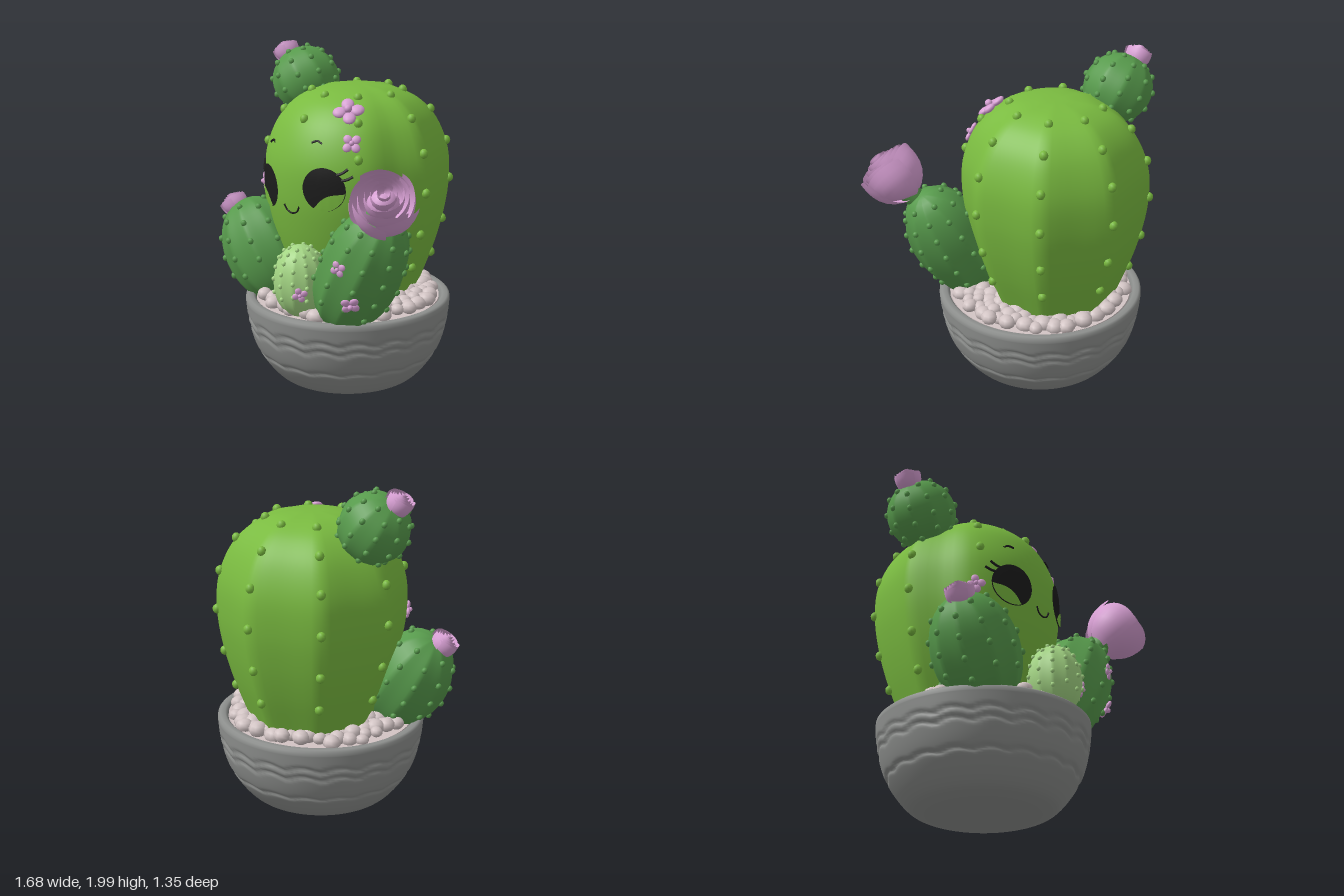
import * as THREE from 'three';
import { mergeGeometries, mergeVertices } from 'three/addons/utils/BufferGeometryUtils.js';

const mat = (color, side = THREE.FrontSide) => new THREE.MeshStandardMaterial({ color, side, roughness: 0.8 });
const M = {
  pot: mat(0x8e908e), gravel: mat(0xd2c4c4), body: mat(0x7abb40), arm: mat(0x579a4c), baby: mat(0xa4d684),
  flower: mat(0xd8a0d4), rose: mat(0xd8a0d4, THREE.DoubleSide), eye: mat(0x1c1c1c, THREE.DoubleSide),
  lid: mat(0x7abb40, THREE.DoubleSide),
};
const V = (x, y, z) => new THREE.Vector3(x, y, z);
const UP = V(0, 1, 0);

let seed = 7;
const rand = () => (seed = (seed * 16807) % 2147483647) / 2147483647;

function addMesh(parent, name, geo, material) {
  const m = new THREE.Mesh(geo, material);
  m.name = name;
  parent.add(m);
  return m;
}

// Move every vertex of a geometry by a rule, then smooth it
function reshape(geo, rule) {
  const p = geo.attributes.position, v = V();
  for (let i = 0; i < p.count; i++) {
    rule(v.fromBufferAttribute(p, i));
    p.setXYZ(i, v.x, v.y, v.z);
  }
  geo.deleteAttribute('uv');
  geo.deleteAttribute('normal');
  const out = mergeVertices(geo, 1e-5);
  out.computeVertexNormals();
  return out;
}

const spline = (pts, n) => new THREE.SplineCurve(pts.map(p => new THREE.Vector2(...p))).getPoints(n)
  .map(p => p.set(Math.max(p.x, 0), p.y));

const ellipseProfile = (r, h) => Array.from({ length: 25 }, (_, i) => {
  const a = Math.PI * i / 24;
  return new THREE.Vector2(r * Math.pow(Math.max(Math.sin(a), 0), 0.92), -h * Math.cos(a));
});

function radiusAt(profile, y) {
  const i = profile.findIndex(p => p.y >= y), a = profile[i - 1], b = profile[i];
  return a.x + (b.x - a.x) * (y - a.y) / (b.y - a.y);
}

// Ribbed cactus lobe with small knobs along its ribs
function cactus(parent, name, o) {
  const g = new THREE.Group();
  g.name = name;
  g.position.copy(o.pos);
  if (o.dir) g.quaternion.setFromUnitVectors(UP, o.dir.clone().normalize());
  parent.add(g);
  const geo = reshape(new THREE.LatheGeometry(o.profile, o.ribs * 8), v => {
    const a = Math.atan2(v.x, v.z);
    const fade = o.smoothFront ? 1 - THREE.MathUtils.smoothstep(Math.cos(a), 0.3, 0.72) : 1;
    const k = 1 - o.depth * fade * Math.abs(Math.sin(a * o.ribs / 2));
    v.x *= k; v.z *= k;
  });
  const skin = addMesh(g, name + 'Skin', geo, o.material);
  const knobs = [];
  for (let k = 0; k < o.ribs; k++) {
    const a = 2 * Math.PI * k / o.ribs, front = Math.cos(a);
    for (const y0 of o.knobYs) {
      const y = y0 + (o.stagger && k % 2 ? o.stagger : 0);
      if (o.smoothFront && (front > 0.9 ? y < 1.55 : front > 0.5 && y < 1.4)) continue;
      const r = radiusAt(o.profile, y);
      knobs.push(new THREE.SphereGeometry(o.knob, 10, 8).scale(1, 1.1, 1)
        .translate(r * Math.sin(a), y, r * Math.cos(a)));
    }
  }
  addMesh(g, name + 'Knobs', mergeGeometries(knobs), o.material);
  return skin;
}

// Layered rose made of curved, overlapping petals
function rose(parent, name, pos, dir, R) {
  const petals = [new THREE.SphereGeometry(R * 0.5, 12, 8).translate(0, 0.05 * R, 0)];
  petals.forEach(p => { p.deleteAttribute('uv'); });
  for (let layer = 0; layer < 5; layer++) {
    const n = Math.max(5 - layer, 2), r = R * (0.92 - 0.18 * layer);
    for (let i = 0; i < n; i++) {
      const geo = reshape(new THREE.PlaneGeometry(1, 1, 10, 8), v => {
        const u = v.x, t = v.y + 0.5;
        const theta = Math.PI - t * Math.PI * (0.66 - 0.25 * u * u);
        const phi = u * 2 * Math.PI / n * 1.35 + 2 * Math.PI * i / n + layer * 0.7;
        const s = r * (1 + 0.16 * u + 0.12 * Math.pow(t, 6));
        v.set(s * Math.sin(theta) * Math.sin(phi), s * Math.cos(theta) + R * 0.17 * layer, s * Math.sin(theta) * Math.cos(phi));
      });
      petals.push(geo);
    }
  }
  const m = addMesh(parent, name, mergeGeometries(petals), M.rose);
  m.position.copy(pos);
  m.quaternion.setFromUnitVectors(UP, dir.normalize());
}

// Point and normal on the front of a mesh at x, y
function project(target, x, y, lift = 0) {
  const hit = new THREE.Raycaster(V(x, y, 5), V(0, 0, -1)).intersectObject(target)[0];
  const normal = hit.face.normal.clone().transformDirection(target.matrixWorld);
  return { point: hit.point.addScaledVector(normal, lift), normal };
}

// Four-petal blossom lying on a surface
function blossom(parent, target, x, y, s, turn) {
  const { point, normal } = project(target, x, y, s * 0.15);
  const parts = [new THREE.SphereGeometry(s * 0.25, 10, 8).translate(0, 0, s * 0.25)];
  for (let i = 0; i < 4; i++) {
    parts.push(new THREE.SphereGeometry(s * 0.46, 12, 8).scale(1, 0.9, 0.5)
      .translate(s * 0.56, 0, 0).rotateZ(turn + i * Math.PI / 2));
  }
  const m = addMesh(parent, 'blossom', mergeGeometries(parts), M.flower);
  m.position.copy(point);
  m.quaternion.setFromUnitVectors(V(0, 0, 1), normal);
}

function stroke(parent, name, target, pts, r) {
  const path = new THREE.CatmullRomCurve3(pts.map(([x, y]) => project(target, x, y, 0.004).point));
  addMesh(parent, name, new THREE.TubeGeometry(path, 12, r, 6), M.eye);
}

export function createModel() {
  const root = new THREE.Group();
  root.name = 'pottedCactus';

  // Pot with scalloped grooves
  const pot = new THREE.Group();
  pot.name = 'planter';
  pot.position.x = -0.09;
  root.add(pot);
  const wall = spline([[0.33, 0], [0.42, 0.035], [0.5, 0.12], [0.565, 0.23], [0.605, 0.37], [0.62, 0.5]], 64);
  const rim = [[0.618, 0.522], [0.605, 0.533], [0.575, 0.533], [0.56, 0.52], [0.55, 0.42]].map(p => new THREE.Vector2(...p));
  const potGeo = reshape(new THREE.LatheGeometry([new THREE.Vector2(0, 0), ...wall, ...rim], 128), v => {
    const r = Math.hypot(v.x, v.z);
    if (r < 0.45) return;
    const wave = Math.abs(Math.sin(Math.atan2(v.x, v.z) * 9));
    let d = 0;
    for (const [y, amp] of [[0.4, 0.03], [0.345, 0.03], [0.195, 0.018]]) {
      d += 0.012 * Math.exp(-Math.pow((v.y - y - amp * (wave - 0.5)) / 0.011, 2));
    }
    v.x *= 1 - d / r; v.z *= 1 - d / r;
  });
  addMesh(pot, 'pot', potGeo, M.pot);

  // Gravel
  const stones = [new THREE.CylinderGeometry(0.555, 0.555, 0.04, 48).translate(0, 0.5, 0)];
  for (let i = 0; i < 210; i++) {
    const r = 0.525 * Math.sqrt((i + 0.5) / 210), a = i * 2.39996;
    stones.push(new THREE.SphereGeometry(0.036 + 0.02 * rand(), 9, 7).scale(1.1, 0.85, 1).rotateY(rand() * 3)
      .translate(r * Math.sin(a), 0.535 + 0.03 * rand(), r * Math.cos(a)));
  }
  addMesh(pot, 'gravel', mergeGeometries(stones), M.gravel);

  // Cactus lobes
  const body = cactus(root, 'body', {
    pos: V(-0.115, 0, -0.11), ribs: 8, depth: 0.075, smoothFront: true, knob: 0.026, material: M.body,
    profile: spline([[0.33, 0.45], [0.39, 0.6], [0.465, 0.8], [0.52, 1], [0.55, 1.2], [0.542, 1.4], [0.475, 1.58],
      [0.37, 1.7], [0.24, 1.765], [0.11, 1.788], [0, 1.792]], 60),
    knobYs: [0.75, 0.965, 1.22, 1.45, 1.64, 1.755],
  });
  cactus(root, 'headBall', {
    pos: V(-0.56, 1.762, -0.115), dir: V(-0.6, 0.8, 0.03), ribs: 10, depth: 0.04, knob: 0.017, material: M.arm,
    profile: ellipseProfile(0.205, 0.2), knobYs: [-0.13, -0.04, 0.06, 0.14], stagger: 0.03,
  });
  cactus(root, 'rightArm', {
    pos: V(-0.53, 0.765, 0.27), dir: V(-0.55, 0.83, 0.05), ribs: 10, depth: 0.05, knob: 0.018, material: M.arm,
    profile: ellipseProfile(0.25, 0.335), knobYs: [-0.12, 0, 0.12, 0.23], stagger: 0.05,
  });
  const leftArm = cactus(root, 'leftArm', {
    pos: V(0.33, 0.83, 0.32), dir: V(0.5, 0.87, 0), ribs: 10, depth: 0.05, knob: 0.018, material: M.arm,
    profile: ellipseProfile(0.245, 0.42), knobYs: [-0.18, -0.04, 0.1, 0.22, 0.32], stagger: 0.06,
  });
  const baby = cactus(root, 'babyCactus', {
    pos: V(-0.027, 0.72, 0.45), ribs: 12, depth: 0.04, knob: 0.013, material: M.baby,
    profile: ellipseProfile(0.16, 0.215), knobYs: [-0.08, 0, 0.07, 0.13, 0.175], stagger: 0.025,
  });

  // Roses and the stem of the large one
  const stem = addMesh(root, 'roseStem', new THREE.CylinderGeometry(0.085, 0.05, 0.16, 16), M.arm);
  stem.position.set(0.565, 1.185, 0.41);
  stem.quaternion.setFromUnitVectors(UP, V(0.5, 0.7, 0.5).normalize());
  rose(root, 'largeRose', V(0.645, 1.3, 0.47), V(0.5, 0.7, 0.5), 0.185);
  rose(root, 'armRose', V(-0.75, 1.02, 0.32), V(-0.55, 0.8, 0.2), 0.085);
  rose(root, 'headRose', V(-0.715, 1.92, -0.1), V(-0.5, 0.85, 0.1), 0.08);

  // Face, laid on the body surface
  root.updateMatrixWorld(true);
  const face = new THREE.Group();
  face.name = 'face';
  root.add(face);
  for (const [side, ex, ey] of [[-1, -0.34, 1.225], [1, 0.105, 1.275]]) {
    const onBody = (v, lift) => v.copy(project(body, ex + v.x * 0.118, ey + v.y * 0.125, lift).point);
    addMesh(face, 'eye', reshape(new THREE.RingGeometry(0.001, 1, 36, 6), v => onBody(v, 0.008)), M.eye);
    const tilt = side * 0.5, c = Math.cos(tilt), s = Math.sin(tilt);
    addMesh(face, 'lowerLid', reshape(new THREE.PlaneGeometry(2, 1, 20, 6), v => {
      const x = 0.8 * v.x, y = -Math.sqrt(0.95 - x * x) + (v.y + 0.5) * 0.62 * (1 - v.x * v.x);
      onBody(v.set(x * c - y * s, x * s + y * c, 0), 0.014);
    }), M.lid);
    for (const [x0, y0, x1, y1] of [[0.07, 0.09, 0.12, 0.125], [0.095, 0.06, 0.145, 0.085]]) {
      stroke(face, 'eyelash', body, [[ex + side * x0, ey + y0], [ex + side * (x0 + x1) / 2, ey + (y0 + y1) / 2 - 0.006],
        [ex + side * x1, ey + y1]], 0.008);
    }
    const bx = side < 0 ? -0.34 : 0.035, by = side < 0 ? 1.485 : 1.535;
    stroke(face, 'eyebrow', body, [[bx - 0.032, by - 0.01 + side * 0.004], [bx, by + 0.005], [bx + 0.032, by - 0.004 - side * 0.004]], 0.006);
  }
  stroke(face, 'smile', body, [[-0.17, 1.15], [-0.15, 1.12], [-0.108, 1.107], [-0.067, 1.123], [-0.05, 1.155]], 0.005);

  // Scattered blossoms
  const spots = [[body, 0.115, 1.69, 0.09, 0.5], [body, 0.21, 1.535, 0.06, 0.9], [body, -0.52, 1.195, 0.055, 0.2],
    [leftArm, 0.39, 0.91, 0.048, 0.4], [leftArm, 0.43, 0.7, 0.06, 0.7], [baby, 0.08, 0.685, 0.046, 0.3]];
  spots.forEach(([target, x, y, s, turn]) => blossom(root, target, x, y, s, turn));
  return root;
}
